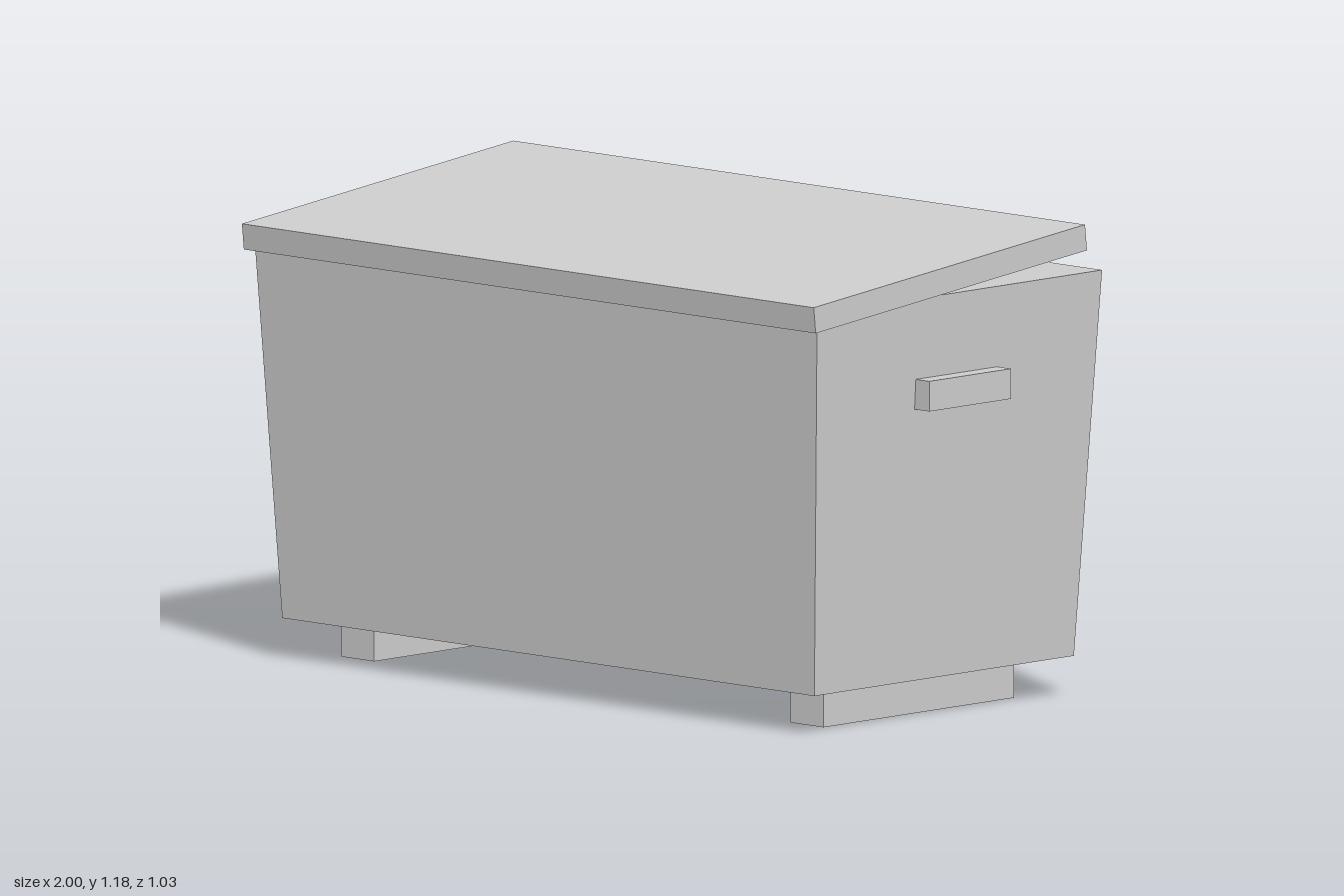
import * as THREE from 'three';

export function createModel() {
  const model = new THREE.Group();
  model.name = 'chest';
  const grey = new THREE.MeshStandardMaterial({ color: 0xcccccc });
  grey.name = 'plain grey';

  function addBox(name, size, position) {
    const mesh = new THREE.Mesh(new THREE.BoxGeometry(...size), grey);
    mesh.name = name;
    mesh.position.set(...position);
    model.add(mesh);
    return mesh;
  }

  // Solid body, narrowing towards the base
  const body = addBox('body', [1.93, 0.96, 1.005], [0, 0.58, -0.0125]);
  const points = body.geometry.attributes.position;
  for (let i = 0; i < points.count; i++) {
    if (points.getY(i) < 0) {
      points.setX(i, Math.sign(points.getX(i)) * 0.912);
      points.setZ(i, Math.sign(points.getZ(i)) * 0.4575);
    }
  }
  body.geometry = body.geometry.toNonIndexed();
  body.geometry.computeVertexNormals();

  // Lid, tilted up at the back
  const lid = addBox('lid', [1.96, 0.065, 0.962], [0, 1.0995, 0.0355]);
  lid.rotation.x = 0.106;

  // Side handles and foot rails
  for (const [side, s] of [['left', 1], ['right', -1]]) {
    addBox(side + 'Handle', [0.06, 0.075, 0.288], [s * 0.97, 0.82, -0.0135]);
    addBox(side + 'Foot', [0.112, 0.1, 0.673], [s * 0.77, 0.05, -0.0115]);
  }

  return model;
}
